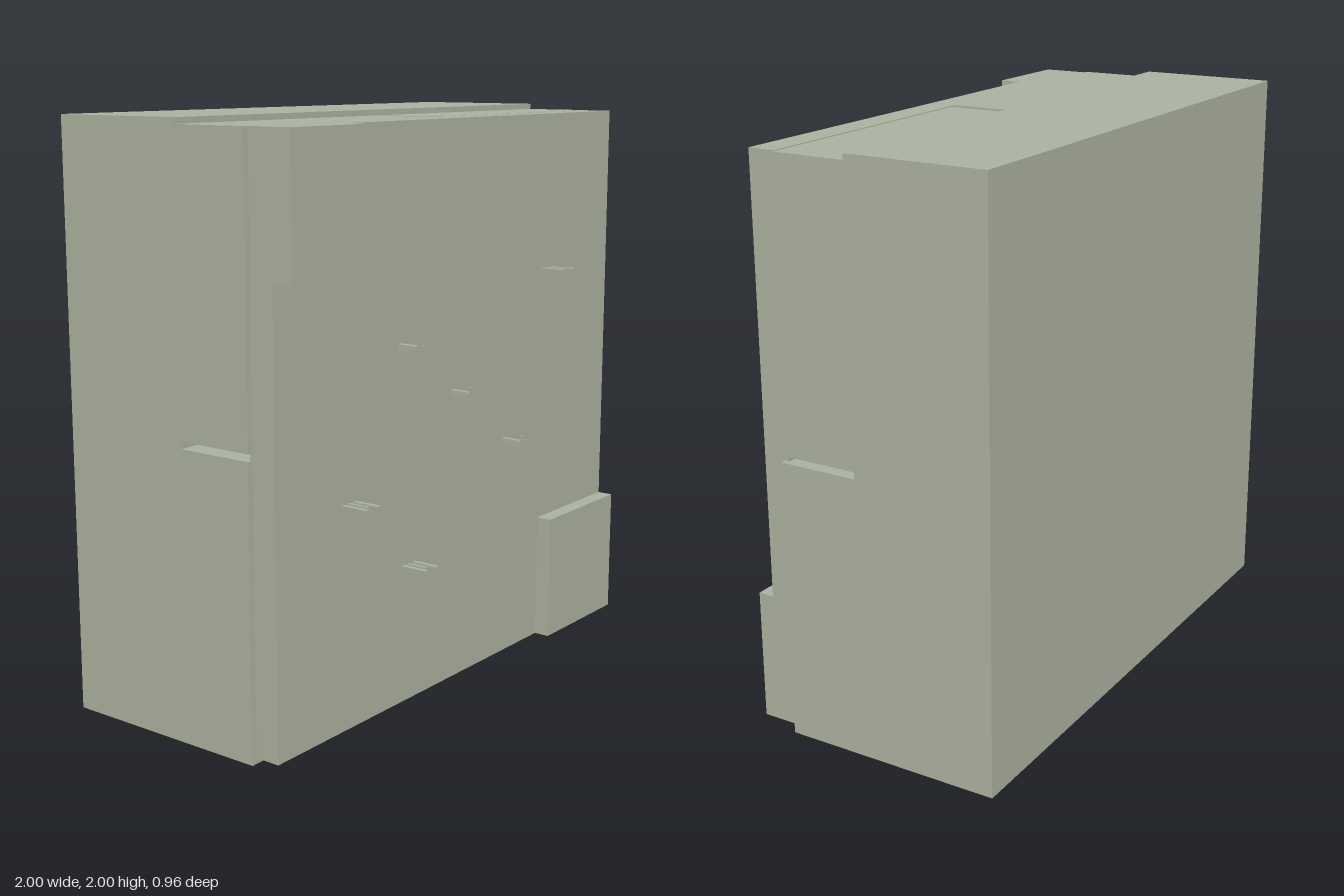
import * as THREE from 'three';

export function createModel() {
  const group = new THREE.Group();
  const casing = new THREE.MeshStandardMaterial({ color: 0xabb19f });
  casing.name = 'grey green casing';

  const add = (name, geometry, parent = group) => {
    const mesh = new THREE.Mesh(geometry, casing);
    mesh.name = name;
    parent.add(mesh);
    return mesh;
  };

  // Box given by its extents along each axis
  const block = (name, [x0, x1], [y0, y1], [z0, z1], parent) => {
    const mesh = add(name, new THREE.BoxGeometry(x1 - x0, y1 - y0, z1 - z0), parent);
    mesh.position.set((x0 + x1) / 2, (y0 + y1) / 2, (z0 + z1) / 2);
    return mesh;
  };

  const coreZ = 0.016, coverBack = 0.285, coverFront = 0.383;

  // Main body
  block('rearHousing', [-1, 1], [0, 2], [-0.48, coreZ]);

  // Four cells separated by a cross-shaped slot, each with its own depth
  const leftX = [0.018, 1], rightX = [-1, -0.02];
  const upperY = [1.004, 1.98], lowerY = [0, 0.98];
  block('upperLeftCell', leftX, upperY, [coreZ, 0.275]);
  block('lowerLeftCell', leftX, lowerY, [coreZ, 0.303]);
  block('upperRightCell', rightX, upperY, [coreZ, 0.295]);
  block('lowerRightCell', rightX, lowerY, [coreZ, 0.293]);

  // Front cover and its raised corner pads
  block('frontCover', [-0.981, 0.981], [0.02, 1.98], [coverBack, coverFront]);
  block('upperCornerPad', [-0.981, -0.623], [1.524, 1.98], [coverFront, 0.46]);
  block('lowerCornerPad', [0.519, 0.981], [0.02, 0.479], [coverFront, 0.44]);

  // Cross-headed studs
  const a = 0.01, r = 0.028;
  const cross = new THREE.Shape([
    [a, a], [a, r], [-a, r], [-a, a], [-r, a], [-r, -a],
    [-a, -a], [-a, -r], [a, -r], [a, -a], [r, -a], [r, a],
  ].map(([x, y]) => new THREE.Vector2(x, y)));
  const headGeometry = new THREE.ExtrudeGeometry(cross, { depth: 0.005, bevelEnabled: false });
  for (const [x, y] of [[-0.353, 1.253], [-0.053, 1.053], [0.278, 0.822]]) {
    const stud = new THREE.Group();
    stud.name = 'crossStud';
    stud.position.set(x, y, 0);
    block('studStem', [-a, a], [-a, a], [coverFront, 0.457], stud);
    add('studHead', headGeometry, stud).position.z = 0.456;
    group.add(stud);
  }

  // Three-pin contacts, the middle pin shorter
  for (const [x, y] of [[0.549, 1.422], [-0.622, 0.782], [-0.301, 0.502]]) {
    const contact = new THREE.Group();
    contact.name = 'pinContact';
    contact.position.set(x, y, 0);
    for (const side of [-1, 0, 1]) {
      const cx = side * 0.03, half = side ? 0.008 : 0.006;
      block('pin', [cx - half, cx + half], [-0.0025, 0.0025], [coverFront, side ? 0.48 : 0.459], contact);
    }
    group.add(contact);
  }

  return group;
}
